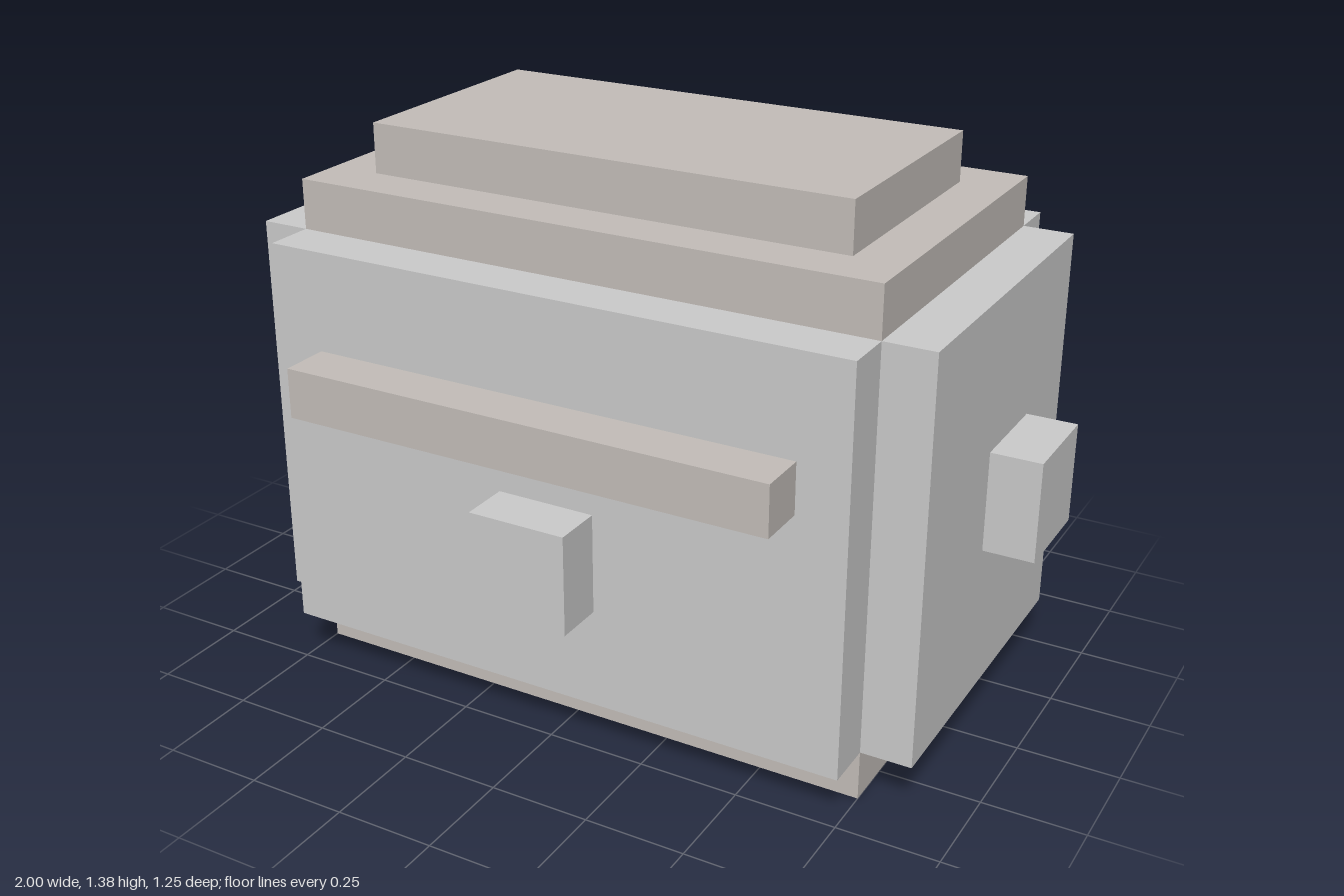
import * as THREE from 'three';

const grey = new THREE.MeshStandardMaterial({ color: 0xcccccc });
const warm = new THREE.MeshStandardMaterial({ color: 0xc4beb9 });

// Box spanning the given ranges on each axis
function block(name, [x0, x1], [y0, y1], [z0, z1], material) {
  const mesh = new THREE.Mesh(new THREE.BoxGeometry(x1 - x0, y1 - y0, z1 - z0), material);
  mesh.position.set((x0 + x1) / 2, (y0 + y1) / 2, (z0 + z1) / 2);
  mesh.name = name;
  return mesh;
}

export function createModel() {
  const model = new THREE.Group();
  model.name = 'blockyBox';

  // Core, showing as the foot and the shoulder, with the stepped lid on top
  model.add(block('core', [-0.75, 0.75], [0, 1.25], [-0.5, 0.375], warm));
  model.add(block('lid', [-0.625, 0.625], [1.25, 1.375], [-0.375, 0.25], warm));

  // Raised wall panels on the front and back
  const wall = [0.125, 1.125];
  model.add(block('frontPanel', [-0.75, 0.75], wall, [0.375, 0.5], grey));
  model.add(block('backPanel', [-0.75, 0.75], wall, [-0.625, -0.5], grey));

  // Side panels and handles, mirrored
  for (const [side, s] of [['left', 1], ['right', -1]]) {
    const span = (a, b) => (s > 0 ? [a, b] : [-b, -a]);
    model.add(block(side + 'Panel', span(0.75, 0.875), wall, [-0.5, 0.375], grey));
    model.add(block(side + 'Handle', span(0.875, 1), [0.5, 0.75], [-0.25, 0], grey));
  }

  // Front trim: long ledge above a small knob
  model.add(block('frontLedge', [-0.625, 0.625], [0.75, 0.875], [0.5, 0.625], warm));
  model.add(block('frontKnob', [-0.125, 0.125], [0.375, 0.625], [0.5, 0.625], grey));

  return model;
}
